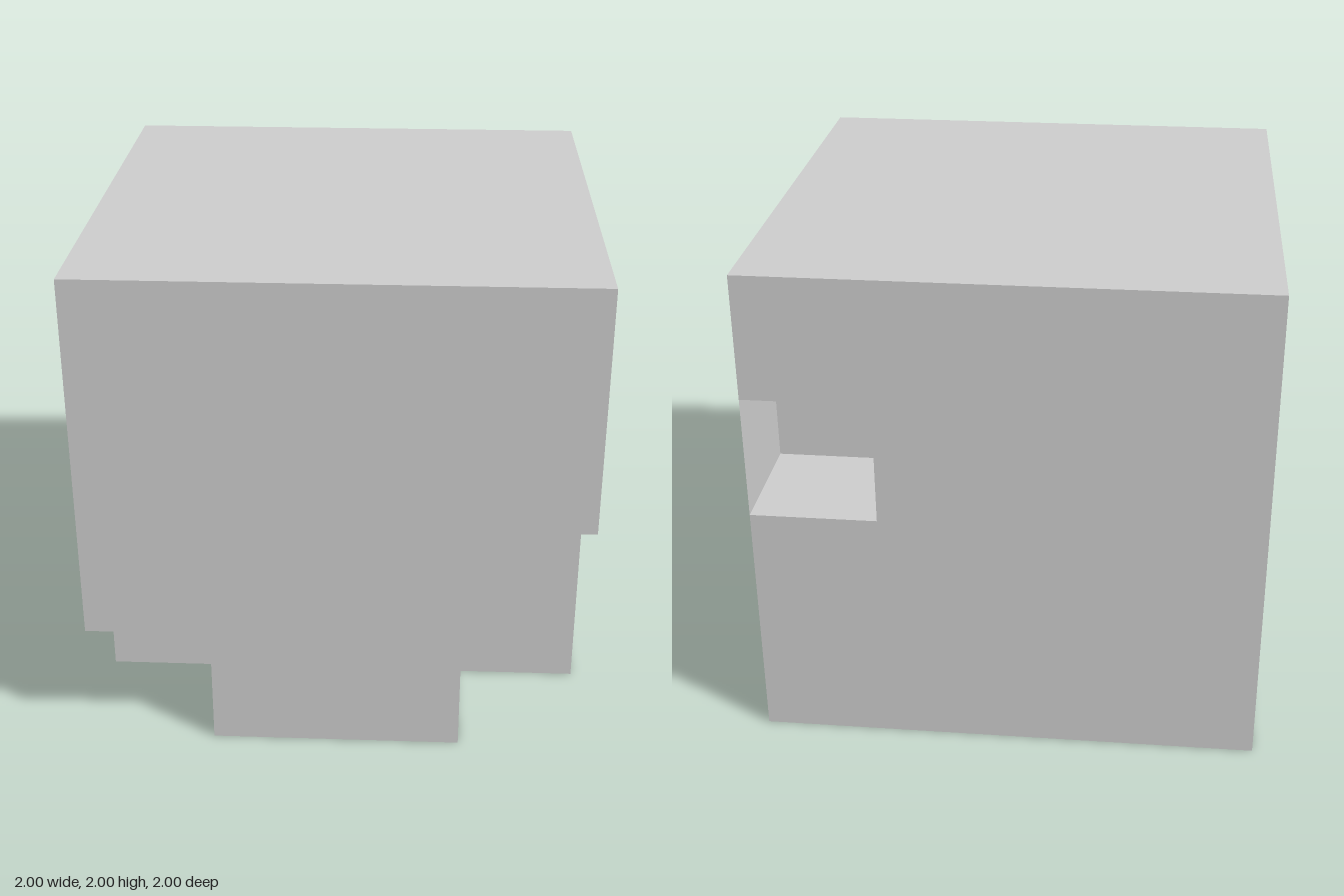
import * as THREE from 'three';

const grey = new THREE.MeshStandardMaterial({ color: 0xcccccc, flatShading: true });
const thin = new THREE.MeshStandardMaterial({ color: 0xcccccc, flatShading: true, side: THREE.DoubleSide });

// Flat panel on plane axis = at. Outline is (z,y) for x, (x,z) for y, (x,y) for z.
const place = {
  x: (u, v, at) => [at, v, u],
  y: (u, v, at) => [u, at, v],
  z: (u, v, at) => [u, v, at],
};
const rect = (u0, u1, v0, v1) => [[u0, v0], [u1, v0], [u1, v1], [u0, v1]];
const toPoints = (list) => list.map(([u, v]) => new THREE.Vector2(u, v));

function panel(name, axis, at, sign, outline, hole, material = grey) {
  const shape = new THREE.Shape(toPoints(outline));
  if (hole) shape.holes.push(new THREE.Path(toPoints(hole)));
  const geo = new THREE.ShapeGeometry(shape);
  const pos = geo.attributes.position;
  for (let i = 0; i < pos.count; i++) {
    pos.setXYZ(i, ...place[axis](pos.getX(i), pos.getY(i), at));
  }
  // the x and y mappings mirror the winding
  if (sign !== (axis === 'z' ? 1 : -1)) geo.index.array.reverse();
  geo.computeVertexNormals();
  const mesh = new THREE.Mesh(geo, material);
  mesh.name = name;
  return mesh;
}

// Inward-facing walls of a box-shaped cut, leaving the named sides open
function cut(name, x, y, z, open) {
  const group = new THREE.Group();
  group.name = name;
  const spans = { x: [x, z, y], y: [y, x, z], z: [z, x, y] };
  for (const axis of ['x', 'y', 'z']) {
    const [range, u, v] = spans[axis];
    for (const side of [0, 1]) {
      const key = (side ? '+' : '-') + axis;
      if (open.includes(key)) continue;
      group.add(panel(name + 'Wall', axis, range[side], side ? -1 : 1, rect(...u, ...v)));
    }
  }
  return group;
}

export function createModel() {
  const model = new THREE.Group();
  model.name = 'notchedCube';

  // Outer faces of the cube
  model.add(
    panel('frontFace', 'z', 1, 1,
      [[-0.5, 0], [0.5, 0], [0.5, 1], [1, 1], [1, 2], [-1, 2], [-1, 0.5], [-0.5, 0.5]]),
    panel('backFace', 'z', -1, -1,
      [[-1, 0], [1, 0], [1, 1], [0.5, 1], [0.5, 1.5], [1, 1.5], [1, 2], [-1, 2]]),
    // this face also closes the back pocket as a thin wall
    panel('leftFace', 'x', 1, 1,
      [[-1, 0], [0.5, 0], [0.5, 1], [1, 1], [1, 2], [-1, 2]], null, thin),
    panel('rightFace', 'x', -1, -1,
      [[-1, 0], [0.5, 0], [0.5, 0.5], [1, 0.5], [1, 2], [-1, 2]], rect(-0.5, 0, 0.5, 1)),
    panel('topFace', 'y', 2, 1, rect(-1, 1, -1, 1)),
    panel('bottomFace', 'y', 0, -1,
      [[-1, -1], [1, -1], [1, 0.5], [0.5, 0.5], [0.5, 1], [-0.5, 1], [-0.5, 0.5], [-1, 0.5]]),
  );

  // Corner notches and pockets
  model.add(
    cut('tallCornerNotch', [0.5, 1], [0, 1], [0.5, 1], ['+x', '-y', '+z']),
    cut('lowCornerNotch', [-1, -0.5], [0, 0.5], [0.5, 1], ['-x', '-y', '+z']),
    cut('backPocket', [0.5, 1], [1, 1.5], [-1, -0.5], ['+x', '-z']),
    cut('sidePocket', [-1, -0.5], [0.5, 1], [-0.5, 0], ['-x']),
  );
  return model;
}
